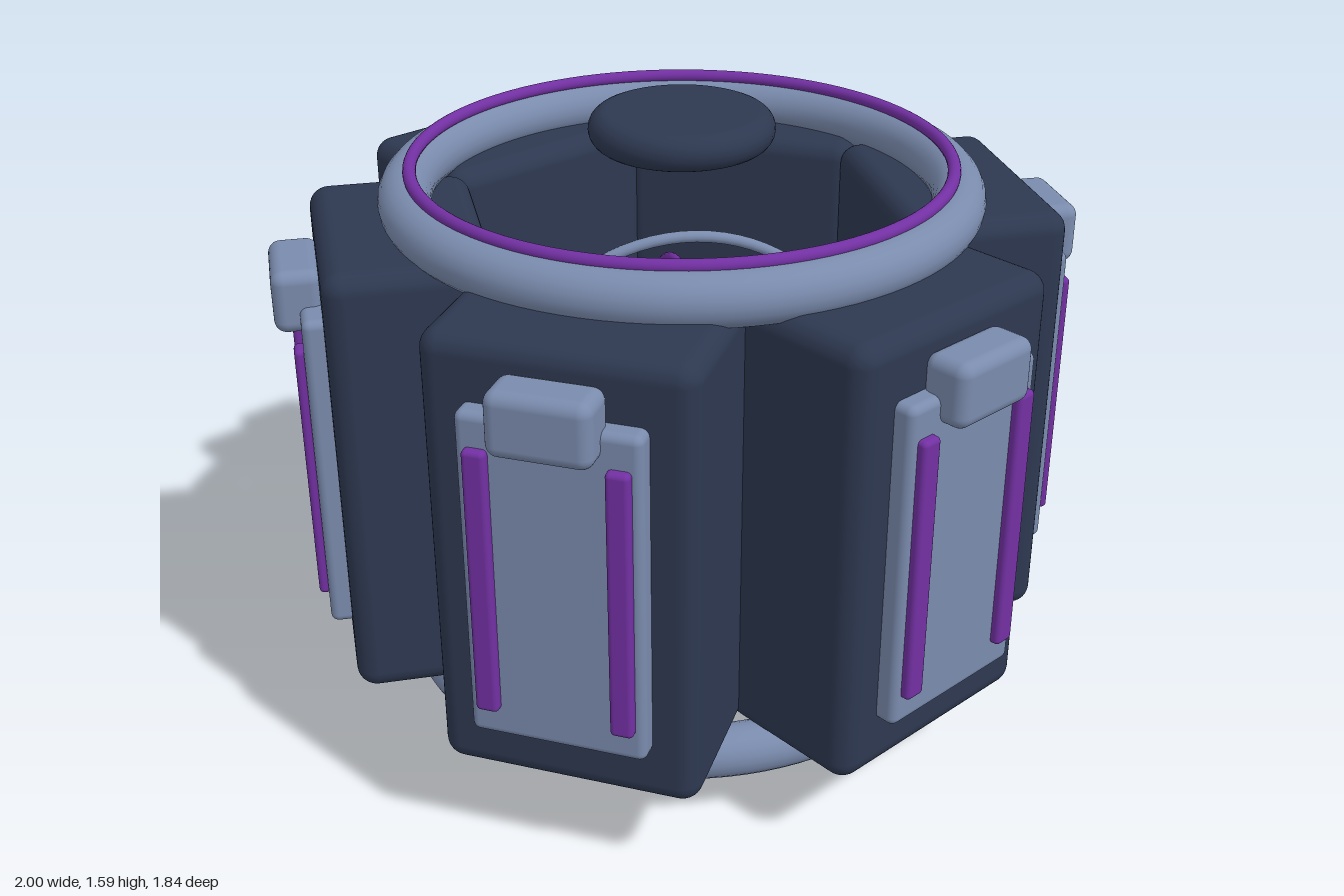
import * as THREE from 'three';
import { RoundedBoxGeometry } from 'three/addons/geometries/RoundedBoxGeometry.js';

const material = (color) => new THREE.MeshStandardMaterial({ color });
const MID = 0.79; // height of the centre plane

export function createModel() {
  const model = new THREE.Group();
  const navy = material(0x2d3850);
  const steel = material(0x7a8bad);
  const purple = material(0x7230a2);
  const black = material(0x1c2331);

  const add = (parent, name, geometry, mat, x = 0, y = 0, z = 0) => {
    const mesh = new THREE.Mesh(geometry, mat);
    mesh.name = name;
    mesh.position.set(x, y, z);
    parent.add(mesh);
    return mesh;
  };
  const rounded = (w, h, d, r) => new RoundedBoxGeometry(w, h, d, 4, r);

  // Six identical modules around the vertical axis, each built facing +x
  const body = rounded(0.4, 1.12, 0.63, 0.05);
  const facePlate = rounded(0.1, 0.825, 0.42, 0.02);
  const lightStrip = rounded(0.05, 0.67, 0.055, 0.012);
  const latch = rounded(0.12, 0.155, 0.24, 0.03);
  const innerPad = new THREE.BoxGeometry(0.13, 0.24, 0.4);
  for (let i = 0; i < 6; i++) {
    const module = new THREE.Group();
    module.name = 'module';
    module.rotation.y = (i * Math.PI) / 3;
    add(module, 'moduleBody', body, navy, 0.69, 0.797);
    add(module, 'facePlate', facePlate, steel, 0.89, 0.797);
    add(module, 'latch', latch, steel, 0.94, 1.218);
    add(module, 'innerPad', innerPad, black, 0.445, MID);
    for (const side of [-1, 1]) {
      add(module, 'lightStrip', lightStrip, purple, 0.937, 0.795, side * 0.16);
    }
    model.add(module);
  }

  // Horizontal rings: a rim and glowing trim at each end, one band at mid height
  const ring = (name, radius, tube, mat, y) => {
    const mesh = add(model, name, new THREE.TorusGeometry(radius, tube, 20, 96), mat, 0, y);
    mesh.rotation.x = Math.PI / 2;
  };
  for (const side of [-1, 1]) {
    ring('rimRing', 0.67, 0.065, steel, MID + side * 0.6);
    ring('rimTrim', 0.655, 0.016, purple, MID + side * 0.67);
  }
  ring('middleBand', 0.55, 0.03, purple, MID);

  // Two upright rings crossing inside the core
  add(model, 'coreRingWide', new THREE.TorusGeometry(0.465, 0.015, 12, 80), steel, 0, MID);
  const narrow = add(model, 'coreRingNarrow', new THREE.TorusGeometry(0.38, 0.013, 12, 80), purple, 0, MID);
  narrow.rotation.y = Math.PI / 2;

  // Floating end caps: discs with a rounded edge
  const profile = [new THREE.Vector2(0, -0.045)];
  for (let i = 0; i <= 12; i++) {
    const a = -Math.PI / 2 + (i * Math.PI) / 12;
    profile.push(new THREE.Vector2(0.181 + 0.045 * Math.cos(a), 0.045 * Math.sin(a)));
  }
  profile.push(new THREE.Vector2(0, 0.045));
  const cap = new THREE.LatheGeometry(profile, 48);
  add(model, 'bottomCap', cap, navy, 0, 0.045);
  add(model, 'topCap', cap, navy, 0, 1.54);

  return model;
}
